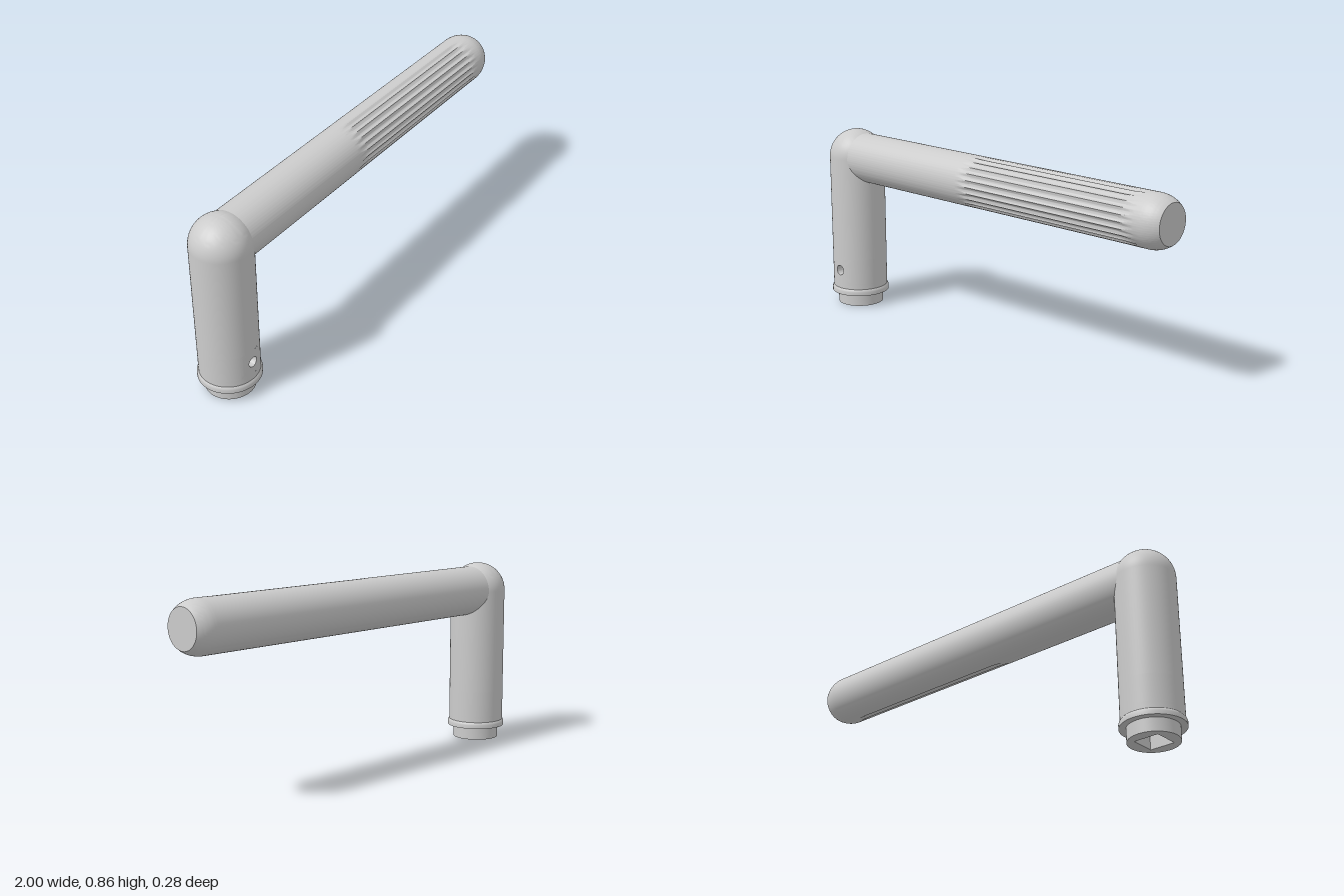
import * as THREE from 'three';
import { toCreasedNormals } from 'three/addons/utils/BufferGeometryUtils.js';

const POST_X = -0.862, POST_R = 0.131, AXIS_Y = 0.733, LEVER_R = 0.116;

// Skin rows of points into a surface that wraps around in the column direction
function loft(rows, cols, point) {
  const pos = [], index = [];
  for (let i = 0; i < rows; i++)
    for (let j = 0; j < cols; j++) pos.push(...point(i, j));
  for (let i = 0; i < rows - 1; i++)
    for (let j = 0; j < cols; j++) {
      const k = (j + 1) % cols;
      const a = i * cols + j, b = i * cols + k, c = b + cols, d = a + cols;
      index.push(a, b, c, a, c, d);
    }
  const g = new THREE.BufferGeometry();
  g.setAttribute('position', new THREE.Float32BufferAttribute(pos, 3));
  g.setIndex(index);
  return toCreasedNormals(g, 0.5);
}

// Round lever with tapered flutes over the front half and a rounded end
function leverGeometry() {
  const FLUTES = 12, STEPS = 10, DEPTH = 0.008, BACK = 32;
  const pitch = Math.PI / FLUTES;
  const angles = [];
  for (let j = 0; j < FLUTES * STEPS; j++) angles.push(j * pitch / STEPS);
  for (let j = 0; j < BACK; j++) angles.push(Math.PI * (1 + j / BACK));

  const xs = [POST_X];
  const span = (a, b, n) => { for (let i = 0; i <= n; i++) xs.push(a + (b - a) * i / n); };
  span(-0.09, 0, 14);
  span(0.1, 0.8, 7);
  span(0.81, 0.9, 12);
  span(0.915, 1, 12);

  const bend = 0.138; // radius of the end rounding
  const radius = (x, t) => {
    if (x > 0.917) return LEVER_R - bend + Math.sqrt(bend ** 2 - (x - 0.917) ** 2);
    if (t >= Math.PI) return LEVER_R;
    const ramp = THREE.MathUtils.clamp(Math.min((x + 0.085) / 0.085, (0.9 - x) / 0.09), 0, 1);
    const off = ((t / pitch) % 1 - 0.5) * 2;
    return LEVER_R - Math.max(0, DEPTH * (ramp - off * off));
  };
  return loft(xs.length, angles.length, (i, j) => {
    const r = radius(xs[i], angles[j]);
    return [xs[i], AXIS_Y + r * Math.cos(angles[j]), r * Math.sin(angles[j])];
  });
}

export function createModel() {
  const model = new THREE.Group();
  const grey = new THREE.MeshStandardMaterial({ color: 0xcccccc });
  const inside = new THREE.MeshStandardMaterial({ color: 0xcccccc, flatShading: true, side: THREE.DoubleSide });
  const add = (name, geometry, parent, material = grey) => {
    const mesh = new THREE.Mesh(geometry, material);
    mesh.name = name;
    parent.add(mesh);
    return mesh;
  };
  const lathe = points => toCreasedNormals(
    new THREE.LatheGeometry(points.map(p => new THREE.Vector2(...p)), 64), 0.5);

  const post = new THREE.Group();
  post.name = 'post';
  post.position.x = POST_X;
  model.add(post);

  // Spigot and collar
  add('collar', lathe([[0.109, 0], [0.109, 0.06], [0.138, 0.06], [0.138, 0.077],
    [0.136, 0.084], [POST_R, 0.09], [POST_R, 0.12]]), post);

  // Upper post with domed top
  const profile = [[POST_R, 0.24]];
  for (let i = 0; i <= 20; i++) {
    const a = i / 20 * Math.PI / 2;
    profile.push([Math.max(POST_R * Math.cos(a), 0), AXIS_Y + POST_R * Math.sin(a)]);
  }
  add('domedPost', lathe(profile), post);

  // Band around the screw hole, left open at the front
  const gap = 2 * Math.PI * 5 / 64;
  add('screwBand', new THREE.CylinderGeometry(POST_R, POST_R, 0.12, 54, 1, true,
    gap, 2 * Math.PI - 2 * gap), post).position.y = 0.18;

  // Front patch: rectangle closing in to a round hole, then the bore
  const RINGS = 6, HOLE_R = 0.024;
  add('screwHole', loft(RINGS + 2, 48, (i, j) => {
    const a = j / 48 * 2 * Math.PI, c = Math.cos(a), s = Math.sin(a);
    const m = Math.max(Math.abs(c), Math.abs(s));
    const t = Math.min(i / RINGS, 1);
    const u = THREE.MathUtils.lerp(c / m * gap * POST_R, c * HOLE_R, t) / POST_R;
    const v = THREE.MathUtils.lerp(s / m * 0.06, s * HOLE_R, t);
    return [POST_R * Math.sin(u), 0.18 + v, i > RINGS ? 0.056 : POST_R * Math.cos(u)];
  }), post);

  // Underside with a square spindle socket
  const half = 0.056;
  const base = new THREE.Shape().absarc(0, 0, 0.109, 0, Math.PI * 2);
  base.holes.push(new THREE.Path([[-half, -half], [-half, half], [half, half], [half, -half]]
    .map(p => new THREE.Vector2(...p))));
  add('underside', new THREE.ShapeGeometry(base, 32).rotateX(Math.PI / 2), post);
  add('socketWalls', new THREE.CylinderGeometry(half * Math.SQRT2, half * Math.SQRT2, 0.36, 4, 1, true, Math.PI / 4),
    post, inside).position.y = 0.18;
  add('socketEnd', new THREE.PlaneGeometry(half * 2, half * 2).rotateX(Math.PI / 2),
    post, inside).position.y = 0.36;

  // Lever and its flat end
  add('lever', leverGeometry(), model);
  const endR = LEVER_R - 0.138 + Math.sqrt(0.138 ** 2 - 0.083 ** 2);
  add('leverEnd', new THREE.CircleGeometry(endR, 64).rotateY(Math.PI / 2), model).position.set(1, AXIS_Y, 0);

  return model;
}
